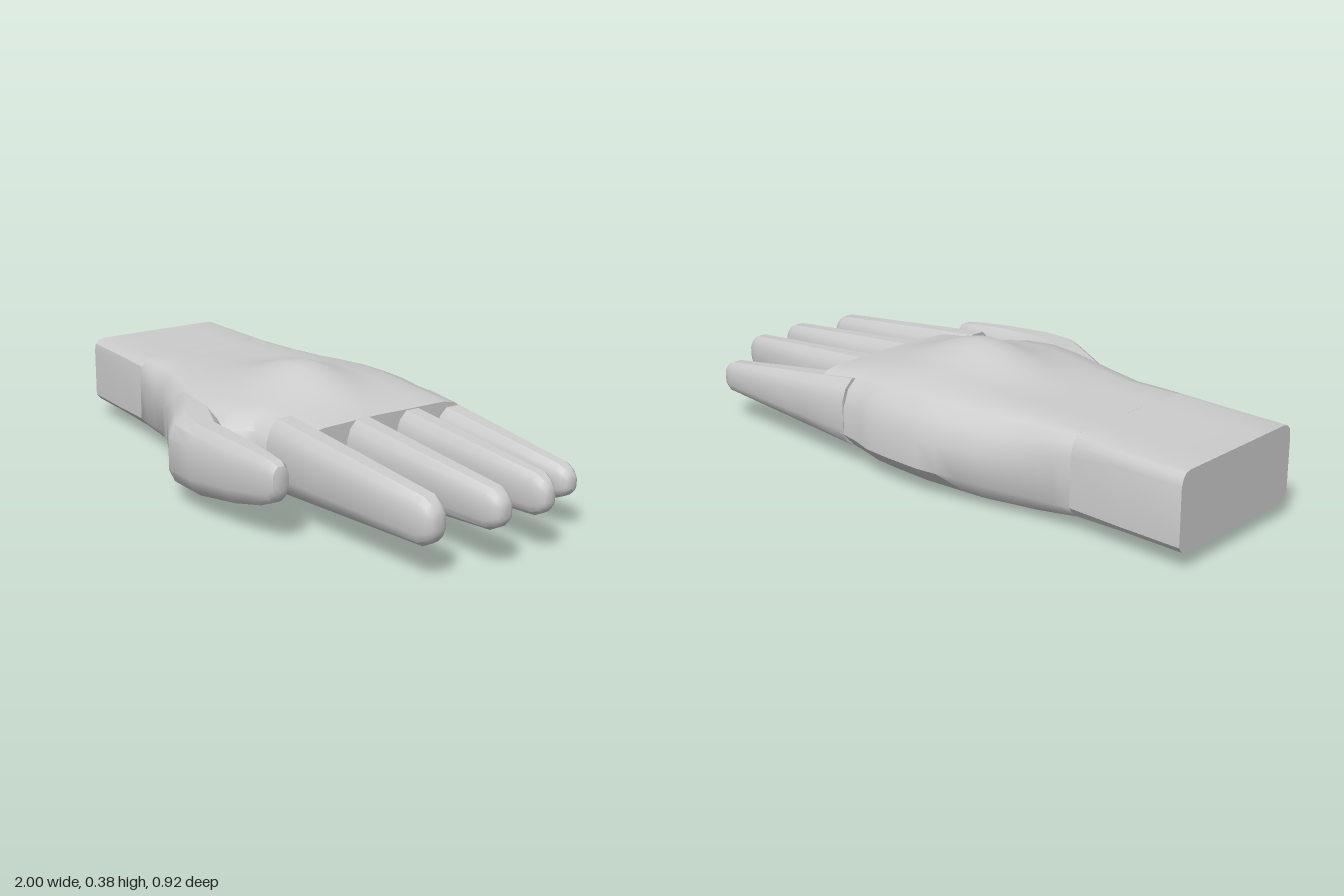
import * as THREE from 'three';
import { toCreasedNormals, mergeVertices } from 'three/addons/utils/BufferGeometryUtils.js';

const material = new THREE.MeshStandardMaterial({ color: 0xcccccc });

// Skins a closed surface over rings of [x, y, z] points that advance along +x.
function skin(name, rings, crease) {
  const n = rings[0].length;
  const positions = rings.flat(2);
  const index = [];
  for (let s = 0; s < rings.length - 1; s++) {
    for (let i = 0; i < n; i++) {
      const a = s * n + i, b = s * n + (i + 1) % n;
      index.push(a, b, b + n, a, b + n, a + n);
    }
  }
  // Flat caps at both ends
  for (const s of [0, rings.length - 1]) {
    const c = positions.length / 3;
    for (let k = 0; k < 3; k++) positions.push(rings[s].reduce((sum, p) => sum + p[k], 0) / n);
    for (let i = 0; i < n; i++) {
      const a = s * n + i, b = s * n + (i + 1) % n;
      index.push(...(s ? [c, a, b] : [c, b, a]));
    }
  }
  const geometry = new THREE.BufferGeometry();
  geometry.setAttribute('position', new THREE.Float32BufferAttribute(positions, 3));
  geometry.setIndex(index);
  const mesh = new THREE.Mesh(toCreasedNormals(mergeVertices(geometry), crease), material);
  mesh.name = name;
  return mesh;
}

// Section outline inside the unit square: u runs from +z to -z, v runs upwards.
function palmOutline(r) {
  const across = [0.3, 0.38, 0.45, 0.52, 0.59, 0.66, 0.73];
  return [
    [0, 0.3 * r], [0.07 * r, 0.12 * r], [0.2 * r, 0], ...across.map(u => [u, 0]),
    [1 - 0.16 * r, 0], [1 - 0.06 * r, 0.1 * r], [1, 0.28 * r], [1, 1 - 0.42 * r],
    [1 - 0.035 * r, 1 - 0.18 * r], [1 - 0.09 * r, 1 - 0.05 * r], [1 - 0.17 * r, 1],
    ...across.slice().reverse().map(u => [u, 1]),
    [0.18 * r, 1], [0.08 * r, 1 - 0.05 * r], [0.02 * r, 1 - 0.18 * r], [0, 1 - 0.42 * r]
  ];
}
const fingerOutline = [
  [0, 0.27], [0.1, 0.1], [0.3, 0], [0.7, 0], [0.9, 0.1], [1, 0.27],
  [1, 0.7], [0.9, 0.88], [0.7, 1], [0.3, 1], [0.1, 0.88], [0, 0.7]
];

const ring = (outline, [x, z0, z1, y0, y1]) =>
  outline.map(([u, v]) => [x, y0 + (y1 - y0) * v, z1 + (z0 - z1) * u]);
const bell = (t, width) => Math.exp(-(t * t) / (2 * width * width));

function makePalm() {
  // x, z min, z max, y min, y max, corner roundness
  const stations = [
    [-0.62, -0.36, 0.19, 0.035, 0.295, 0.6],
    [-0.45, -0.39, 0.215, 0.008, 0.3, 0.9],
    [-0.32, -0.425, 0.27, 0.003, 0.3, 1],
    [-0.12, -0.465, 0.345, 0.015, 0.3, 1],
    [0, -0.465, 0.37, 0.018, 0.3, 1],
    [0.1, -0.46, 0.35, 0.022, 0.298, 1],
    [0.18, -0.44, 0.28, 0.03, 0.295, 1],
    [0.28, -0.43, 0.26, 0.05, 0.29, 0.9],
    [0.37, -0.43, 0.25, 0.075, 0.282, 0.9]
  ];
  const rings = [];
  const steps = 3;
  for (let k = 0; k <= (stations.length - 1) * steps; k++) {
    const i = Math.min(Math.floor(k / steps), stations.length - 2);
    const t = k / steps - i;
    const row = stations[i].map((a, c) => THREE.MathUtils.lerp(a, stations[i + 1][c], t));
    const points = ring(palmOutline(row[5]), row);
    // Raised back of the hand over the knuckles
    for (const p of points) {
      if (p[1] < (row[3] + row[4]) / 2) continue;
      p[1] += 0.085 * bell(p[0], 0.16) * bell(p[2] + 0.045, 0.1)
            + 0.02 * bell(p[0], 0.2) * bell(p[2] + 0.28, 0.09);
    }
    rings.push(points);
  }
  return skin('palm', rings, 0.7);
}

function makeWrist() {
  const rows = [
    [-1, -0.37, 0.16, 0.05, 0.288, 0.4],
    [-0.8, -0.365, 0.175, 0.05, 0.288, 0.4],
    [-0.62, -0.36, 0.19, 0.035, 0.295, 0.6]
  ];
  return skin('wrist', rows.map(r => ring(palmOutline(r[5]), r)), 0.5);
}

// A finger tapers from its buried base to a small rounded tip.
function makeFinger(name, base, tip) {
  const [bx, bz, bw, by0, by1] = base, [tx, tz, tw, ty0, ty1] = tip;
  const mix = THREE.MathUtils.lerp;
  const rows = [0, 0.33, 0.62, 1].map(t => {
    const z = mix(bz, tz, t), w = mix(bw, tw, t);
    return [mix(bx, tx - 0.045, t), z - w, z + w, mix(by0, ty0, t), mix(by1, ty1, t)];
  });
  // Rounded fingertip
  for (const [dx, s] of [[0.02, 0.78], [0.004, 0.5], [0, 0.28]]) {
    const mid = (ty0 + ty1) / 2, h = (ty1 - ty0) / 2 * s;
    rows.push([tx - dx, tz - tw * s, tz + tw * s, mid - h, mid + h]);
  }
  return skin(name, rows.map(r => ring(fingerOutline, r)), 0.6);
}

function makeThumb() {
  const rows = [
    [-0.45, 0.03, 0.2, 0.06, 0.24],
    [-0.3, 0.08, 0.28, 0.04, 0.27],
    [-0.12, 0.17, 0.38, 0.04, 0.285],
    [0, 0.25, 0.455, 0.05, 0.285],
    [0.12, 0.325, 0.458, 0.058, 0.28],
    [0.3, 0.335, 0.445, 0.085, 0.272],
    [0.42, 0.345, 0.43, 0.112, 0.262],
    [0.475, 0.352, 0.422, 0.135, 0.255],
    [0.493, 0.36, 0.415, 0.155, 0.245],
    [0.498, 0.372, 0.403, 0.175, 0.23]
  ];
  return skin('thumb', rows.map(r => ring(fingerOutline, r)), 0.6);
}

export function createModel() {
  const hand = new THREE.Group();
  hand.name = 'hand';
  hand.add(makeWrist(), makePalm(), makeThumb());
  // base and tip: x, z, half width, y min, y max
  hand.add(
    makeFinger('indexFinger', [0.25, 0.2, 0.066, 0.07, 0.298], [0.95, 0.2, 0.048, 0.1, 0.24]),
    makeFinger('middleFinger', [0.25, -0.005, 0.064, 0.065, 0.298], [1, 0.005, 0.045, 0.118, 0.238]),
    makeFinger('ringFinger', [0.25, -0.202, 0.066, 0.065, 0.292], [0.985, -0.178, 0.038, 0.115, 0.238]),
    makeFinger('littleFinger', [0.23, -0.366, 0.072, 0.06, 0.282], [0.89, -0.365, 0.04, 0.1, 0.205])
  );
  return hand;
}
